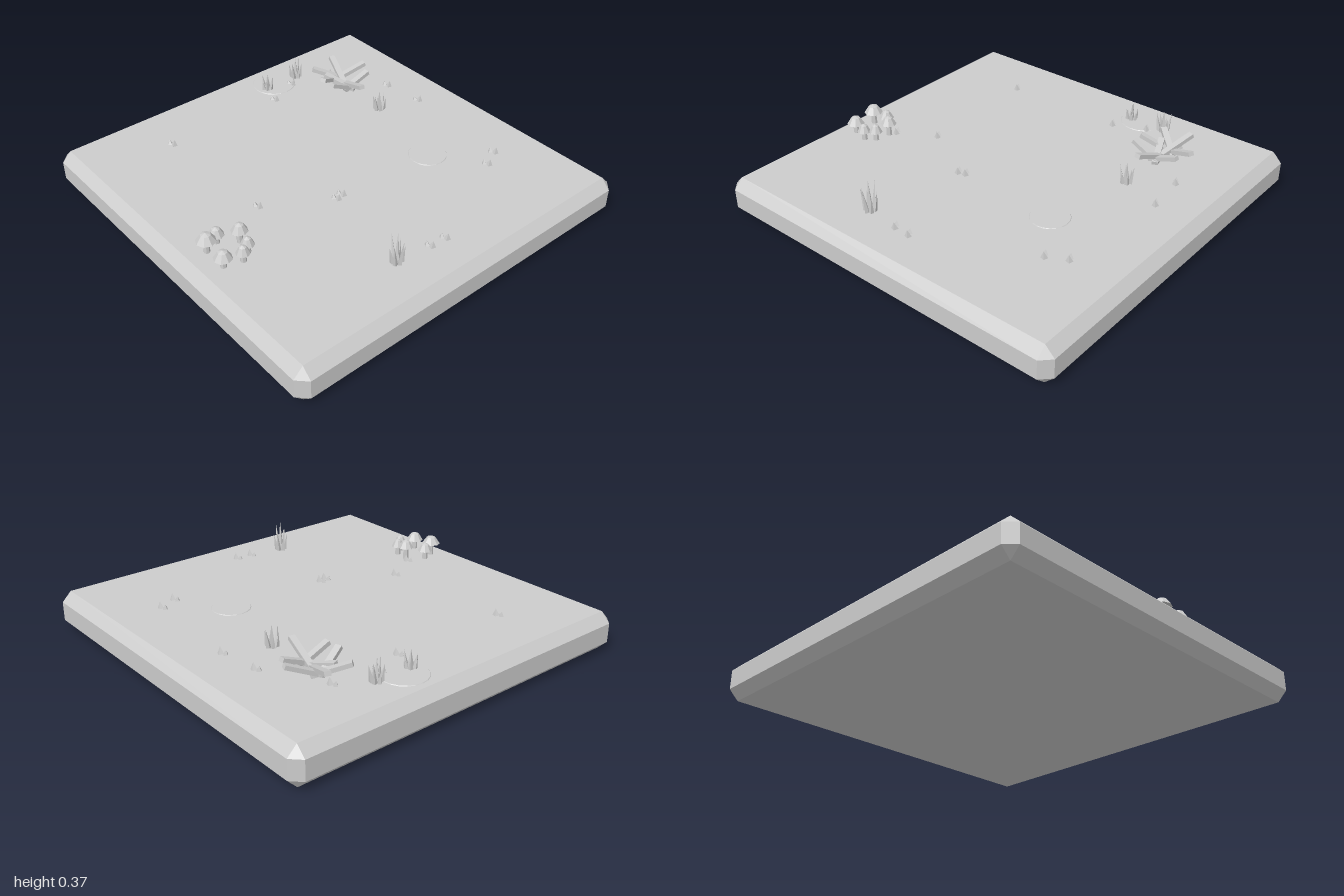
import * as THREE from 'three';
import { ConvexGeometry } from 'three/addons/geometries/ConvexGeometry.js';

const GROUND = 0.2;

export function createModel() {
  const model = new THREE.Group();
  const grey = new THREE.MeshStandardMaterial({ color: 0xcccccc, flatShading: true });
  grey.name = 'stone grey';

  const add = (parent, name, geometry, x = 0, y = 0, z = 0) => {
    const mesh = new THREE.Mesh(geometry, grey);
    mesh.name = name;
    mesh.position.set(x, y, z);
    parent.add(mesh);
    return mesh;
  };
  const group = (name, x, z, y = GROUND) => {
    const g = new THREE.Group();
    g.name = name;
    g.position.set(x, y, z);
    model.add(g);
    return g;
  };

  // Ground slab with chamfered edges and corners
  const corners = [];
  const b = 0.05;
  for (const sx of [-1, 1]) for (const sy of [-1, 1]) for (const sz of [-1, 1]) {
    corners.push(
      new THREE.Vector3(sx, sy * (0.1 - b), sz * (1 - b)),
      new THREE.Vector3(sx * (1 - b), sy * 0.1, sz * (1 - b)),
      new THREE.Vector3(sx * (1 - b), sy * (0.1 - b), sz));
  }
  add(model, 'groundSlab', new ConvexGeometry(corners), 0, 0.1, 0);

  // Flat round patches on the ground
  for (const [x, z, r] of [[0.25, -0.43, 0.1], [-0.8, -0.25, 0.12]]) {
    add(model, 'groundPatch', new THREE.CylinderGeometry(r * 0.97, r, 0.004, 20), x, GROUND + 0.001, z);
  }

  // Leaning sticks: foot x, z, then tip x, z, tip height
  const sticks = [
    [-0.60, -0.53, -0.54, -0.70, 0.08], [-0.48, -0.50, -0.47, -0.66, 0.07],
    [-0.50, -0.53, -0.71, -0.60, 0.08], [-0.57, -0.58, -0.69, -0.445, 0.07],
    [-0.60, -0.55, -0.545, -0.40, 0.08], [-0.47, -0.56, -0.475, -0.405, 0.08],
    [-0.55, -0.545, -0.345, -0.51, 0.085], [-0.45, -0.55, -0.62, -0.48, 0.05],
  ];
  const pile = group('stickPile', 0, 0);
  for (const [x0, z0, x1, z1, h] of sticks) {
    const foot = new THREE.Vector3(x0, 0.008, z0);
    const tip = new THREE.Vector3(x1, h, z1);
    const mid = foot.clone().lerp(tip, 0.5);
    const stick = add(pile, 'stick', new THREE.BoxGeometry(0.032, 0.022, foot.distanceTo(tip)), mid.x, mid.y, mid.z);
    stick.lookAt(tip.clone().add(pile.position));
  }

  // A pointed blade standing on its base and leaning sideways
  const blade = (parent, name, x, z, r, h, lean, turn, sides = 4) => {
    const g = new THREE.ConeGeometry(r, h, sides);
    g.translate(0, h / 2, 0);
    g.rotateY(turn);
    g.rotateZ(lean[0]);
    g.rotateX(lean[1]);
    add(parent, name, g, x, 0, z);
  };

  // Tall grass tufts: x, z, height
  const tufts = [[-0.78, -0.39, 0.12], [-0.78, -0.19, 0.09], [-0.225, -0.53, 0.11], [0.745, 0.25, 0.165]];
  tufts.forEach(([x, z, h], t) => {
    const tuft = group('grassTuft', x, z);
    blade(tuft, 'blade', 0, 0, 0.017, h, [0, 0], t);
    for (let i = 0; i < 6; i++) {
      const a = i * Math.PI / 3 + t * 0.7;
      const dx = Math.cos(a), dz = Math.sin(a);
      blade(tuft, 'blade', dx * 0.02, dz * 0.022, 0.013, h * (0.55 + 0.35 * ((i * 2 + t) % 3) / 2),
        [-dx * 0.15, dz * 0.18], a);
    }
  });

  // Tiny sprouts in pairs
  const sprouts = [
    [-0.37, -0.725], [-0.15, -0.75], [0.455, -0.7], [0.505, -0.6], [0.77, -0.03], [0.765, 0.06], [0.22, 0.12],
    [0.23, 0.16], [0.035, 0.485], [-0.66, 0.515], [-0.66, -0.15], [-0.73, -0.32], [-0.685, -0.555], [0.145, 0.68],
  ];
  for (const [x, z] of sprouts) {
    const s = group('sprout', x, z);
    blade(s, 'sproutLeaf', 0.01, -0.003, 0.018, 0.036, [-0.12, 0], 0.5);
    blade(s, 'sproutLeaf', -0.013, 0.008, 0.015, 0.025, [0.15, 0], 0.2);
  }

  // Mushrooms: x, z, cap radius, height
  const mushrooms = [
    [0.185, 0.70, 0.042, 0.11], [0.265, 0.715, 0.035, 0.09], [0.3, 0.765, 0.035, 0.09],
    [0.12, 0.785, 0.04, 0.09], [0.145, 0.855, 0.05, 0.11], [0.275, 0.855, 0.046, 0.095],
  ];
  for (const [x, z, r, h] of mushrooms) {
    const m = group('mushroom', x, z);
    const capH = 0.045;
    add(m, 'stem', new THREE.CylinderGeometry(0.013, 0.016, h - capH + 0.005, 7), 0, (h - capH + 0.005) / 2, 0);
    const profile = [[0, 0], [r, 0], [r * 0.5, capH * 0.8], [0, capH]].map(p => new THREE.Vector2(...p));
    add(m, 'cap', new THREE.LatheGeometry(profile, 8), 0, h - capH, 0);
  }

  return model;
}
